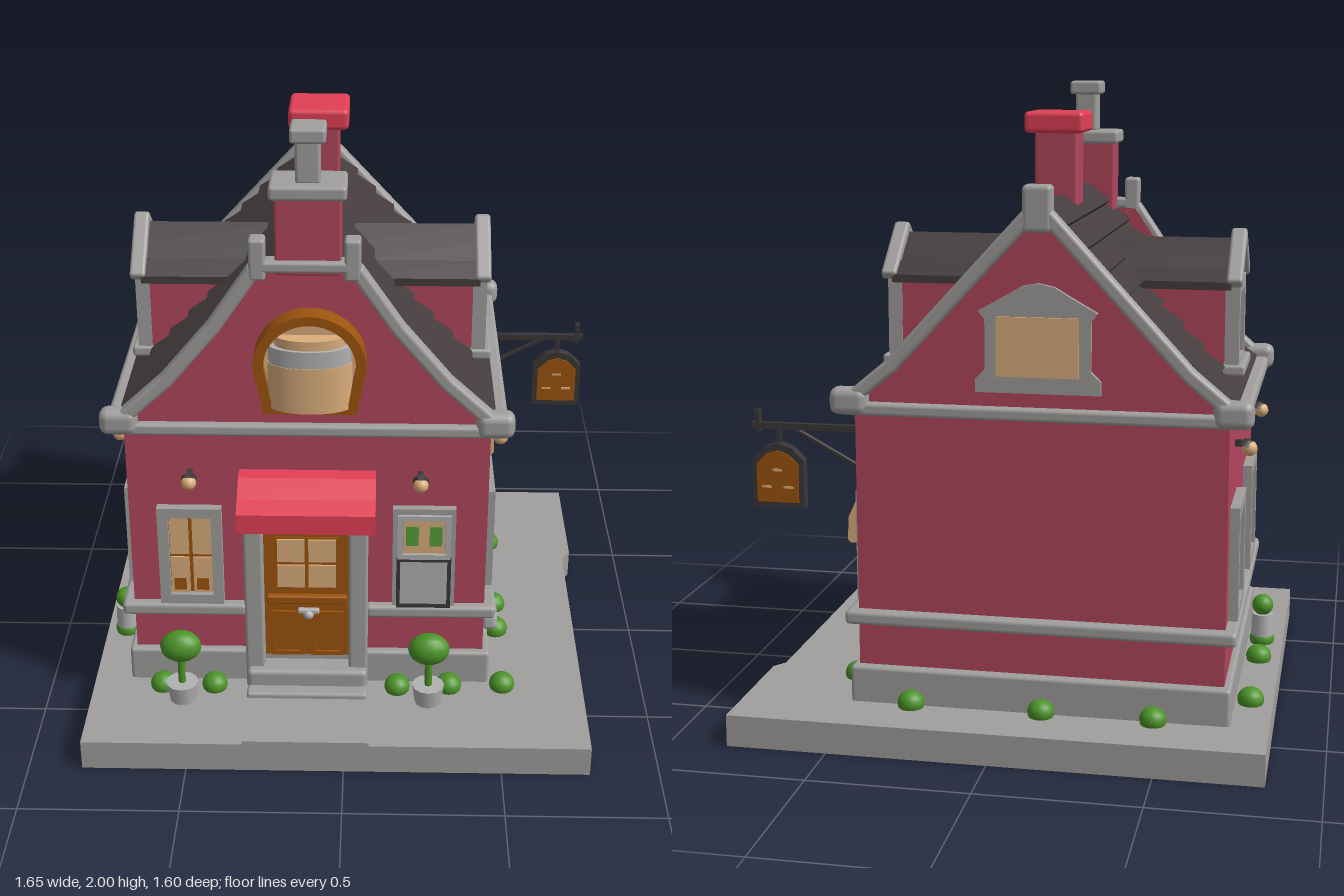
import * as THREE from 'three';
import { RoundedBoxGeometry } from 'three/addons/geometries/RoundedBoxGeometry.js';

const material = (name, color) => Object.assign(new THREE.MeshStandardMaterial({ color }), { name });
const wallRed = material('wallRed', 0xb3475e), brightRed = material('brightRed', 0xe23f55);
const stone = material('stone', 0xa09f9d), slate = material('slate', 0x453d3d);
const wood = material('wood', 0x9c540e), tan = material('tan', 0xdcae7c);
const green = material('green', 0x4c9428), iron = material('iron', 0x3a3637);
const paleGrey = material('paleGrey', 0xb2b2b2), menuGreen = material('menuGreen', 0x55a03c);

const CX = -0.12; // house centre line

function add(parent, name, geometry, mat, x = 0, y = 0, z = 0) {
  const mesh = new THREE.Mesh(geometry, mat);
  mesh.name = name;
  mesh.position.set(x, y, z);
  parent.add(mesh);
  return mesh;
}
// Box given by its limits; round = softened edges
function block(parent, name, mat, x0, x1, y0, y1, z0, z1, round = 0) {
  const w = x1 - x0, h = y1 - y0, d = z1 - z0;
  const geo = round ? new RoundedBoxGeometry(w, h, d, 2, Math.min(round, w / 2.1, h / 2.1, d / 2.1)) : new THREE.BoxGeometry(w, h, d);
  return add(parent, name, geo, mat, (x0 + x1) / 2, (y0 + y1) / 2, (z0 + z1) / 2);
}
// Rounded bar between two points of the xy plane
function beam(parent, name, mat, a, b, z, thick, depth) {
  const dx = b[0] - a[0], dy = b[1] - a[1];
  const geo = new RoundedBoxGeometry(Math.hypot(dx, dy) + thick * 0.6, thick, depth, 2, Math.min(thick, depth) * 0.3);
  add(parent, name, geo, mat, (a[0] + b[0]) / 2, (a[1] + b[1]) / 2, z).rotation.z = Math.atan2(dy, dx);
}
const shapeOf = pts => new THREE.Shape(pts.map(p => new THREE.Vector2(...p)));
const extrude = (shape, depth) => new THREE.ExtrudeGeometry(shape, { depth, bevelEnabled: false, curveSegments: 16 });
const mirrored = half => [...half, ...half.slice().reverse().filter(p => p[0] !== 0).map(([x, y]) => [-x, y])];
function ball(parent, name, mat, x, y, z, rx, ry = rx, rz = rx) {
  add(parent, name, new THREE.SphereGeometry(1, 16, 10), mat, x, y, z).scale.set(rx, ry, rz);
}
// Rectangular ring facing +z
function frame(parent, name, mat, x, y, z, w, h, t, depth) {
  const s = shapeOf([[-w / 2, -h / 2], [w / 2, -h / 2], [w / 2, h / 2], [-w / 2, h / 2]]);
  const a = w / 2 - t, b = h / 2 - t;
  s.holes.push(new THREE.Path([[-a, -b], [-a, b], [a, b], [a, -b]].map(p => new THREE.Vector2(...p))));
  add(parent, name, extrude(s, depth), mat, x, y, z);
}
// Two by two panes on a wooden backing
function panes(parent, x, y, z, w, h, blotch = true) {
  block(parent, 'windowBacking', wood, x - w / 2, x + w / 2, y - h / 2, y + h / 2, z, z + 0.008);
  const pw = w / 2 - 0.012, ph = h / 2 - 0.012;
  for (const i of [-1, 1]) for (const j of [-1, 1]) {
    const px = x + i * w / 4, py = y + j * h / 4;
    block(parent, 'pane', tan, px - pw / 2, px + pw / 2, py - ph / 2, py + ph / 2, z + 0.002, z + 0.014);
    if (j < 0 && blotch) block(parent, 'paneShade', wood, px - pw * 0.35, px + pw * 0.3, py - ph * 0.4, py - ph * 0.08, z + 0.011, z + 0.016);
  }
}
function sashWindow(parent, x, y, z, w, h) {
  const g = new THREE.Group();
  g.name = 'window';
  parent.add(g);
  frame(g, 'windowFrame', stone, x, y, z - 0.01, w, h, 0.034, 0.04);
  panes(g, x, y - 0.005, z, w - 0.06, h - 0.06);
}
// Canopy from a (z, y) profile, running along x
function canopy(parent, name, mat, profile, x0, x1) {
  const geo = extrude(shapeOf(profile), x1 - x0);
  geo.rotateY(-Math.PI / 2);
  add(parent, name, geo, mat, x1, 0, 0);
}
function lamp(parent, x, y, z) {
  block(parent, 'lampArm', iron, x - 0.008, x + 0.008, y, y + 0.02, z, z + 0.04);
  ball(parent, 'lampBulb', tan, x, y - 0.005, z + 0.045, 0.024);
  const rim = add(parent, 'lampRim', new THREE.CylinderGeometry(0.012, 0.026, 0.02, 10), iron, x, y + 0.012, z + 0.04);
  rim.rotation.x = 0.4;
}
const archShape = (w, y0, ySpring) => {
  const s = new THREE.Shape();
  s.moveTo(-w * 0.82, y0).lineTo(w * 0.82, y0).lineTo(w, ySpring);
  s.absarc(0, ySpring, w, 0, Math.PI, false);
  return s;
};

function buildSide(house, s) {
  const side = new THREE.Group(); // local +z points out of the wall
  side.name = s > 0 ? 'leftSide' : 'rightSide';
  side.rotation.y = s * Math.PI / 2;
  side.position.x = CX;
  house.add(side);
  const W = 0.57;
  sashWindow(side, -s * 0.19, 0.57, W, 0.265, 0.36);
  sashWindow(side, s * 0.36, 0.57, W, 0.265, 0.36);
  for (const z of [0.235, -0.35]) lamp(side, -s * z, 0.91, W);
  if (s > 0) canopy(side, 'windowCanopy', tan, [[W, 0.72], [W + 0.03, 0.72], [W + 0.058, 0.66], [W + 0.062, 0.585], [W + 0.05, 0.575], [W, 0.58]], 0.245, 0.48);

  // Dormer with its own little roof
  const d = new THREE.Group();
  d.name = 'dormer';
  d.position.x = s * 0.07;
  side.add(d);
  add(d, 'dormerWall', extrude(shapeOf([[-0.125, 1.08], [0.125, 1.08], [0.125, 1.38], [0, 1.51], [-0.125, 1.38]]), 0.42), wallRed, 0, 0, 0.11);
  const roof = [[0.175, 1.375], [0.175, 1.4], [0.12, 1.44], [0.12, 1.425], [0.06, 1.48], [0.06, 1.47], [0, 1.52]];
  add(d, 'dormerRoof', extrude(shapeOf([...mirrored(roof), [0, 1.48]]), 0.45), slate, 0, 0, 0.09);
  for (const i of [-1, 1]) beam(d, 'dormerRake', stone, [i * 0.165, 1.4], [0, 1.535], 0.55, 0.035, 0.05);
  frame(d, 'dormerFrame', stone, 0, 1.25, 0.52, 0.26, 0.29, 0.04, 0.045);
  panes(d, 0, 1.25, 0.53, 0.18, 0.21, false);
  block(d, 'dormerSill', stone, -0.14, 0.14, 1.1, 1.135, 0.5, 0.585, 0.01);
}

function buildFront(house) {
  const F = 0.43;
  // Door, surround and steps
  block(house, 'door', wood, -0.265, 0.015, 0.18, 0.75, F, 0.455);
  for (const x of [-0.325, 0.01]) block(house, 'doorPost', stone, x, x + 0.062, 0.1, 0.76, F - 0.02, 0.5, 0.01);
  block(house, 'doorStep', stone, -0.32, 0.07, 0.1, 0.185, F, 0.53, 0.015);
  block(house, 'lowerStep', stone, -0.32, 0.07, 0.09, 0.13, F, 0.575, 0.01);
  panes(house, -0.125, 0.56, 0.452, 0.2, 0.19, false);
  block(house, 'doorRail', wood, -0.255, 0.005, 0.41, 0.44, 0.45, 0.475, 0.006);
  for (const x of [-0.19, -0.06]) frame(house, 'doorPanel', wood, x, 0.29, 0.45, 0.11, 0.17, 0.015, 0.012);
  block(house, 'doorHandle', paleGrey, -0.155, -0.085, 0.372, 0.39, 0.455, 0.475, 0.006);
  ball(house, 'doorKnob', paleGrey, -0.12, 0.37, 0.47, 0.017);
  canopy(house, 'doorCanopy', brightRed, [[F, 0.885], [0.475, 0.88], [0.54, 0.84], [0.595, 0.815], [0.597, 0.75], [0.58, 0.745], [F, 0.75]], -0.335, 0.095);

  // Window and menu board
  sashWindow(house, -0.497, 0.577, F, 0.205, 0.355);
  block(house, 'menuBoard', stone, 0.15, 0.35, 0.4, 0.76, F - 0.02, F + 0.025);
  frame(house, 'menuTopFrame', paleGrey, 0.25, 0.66, F + 0.02, 0.17, 0.16, 0.018, 0.015);
  block(house, 'menuCard', tan, 0.185, 0.315, 0.6, 0.72, F + 0.02, F + 0.029);
  for (const x of [0.21, 0.285]) block(house, 'menuPicture', menuGreen, x - 0.018, x + 0.022, 0.63, 0.7, F + 0.026, F + 0.033);
  frame(house, 'menuFrame', iron, 0.25, 0.49, F + 0.02, 0.175, 0.185, 0.012, 0.014);
  block(house, 'menuPanel', paleGrey, 0.175, 0.325, 0.41, 0.57, F + 0.02, F + 0.03);
  for (const x of [-0.49, 0.235]) lamp(house, x, 0.865, F);

  // Arched gable window with bulging blind
  const ring = archShape(0.172, 1.12, 1.272);
  ring.holes.push(new THREE.Path(archShape(0.14, 1.145, 1.275).getPoints(16)));
  add(house, 'archFrame', extrude(ring, 0.075), wood, CX + 0.013, 0, F);
  add(house, 'archGlass', extrude(archShape(0.142, 1.14, 1.275), 0.05), tan, CX + 0.013, 0, F);
  const blind = (name, mat, y0, y1, r) => add(house, name, new THREE.CylinderGeometry(r, r, y1 - y0, 20, 1, false, -Math.PI / 2, Math.PI), mat, CX + 0.013, (y0 + y1) / 2, 0.48).scale.z = 0.5;
  blind('blindLower', tan, 1.14, 1.29, 0.128);
  blind('blindBand', paleGrey, 1.29, 1.345, 0.125);
  blind('blindTop', tan, 1.345, 1.375, 0.105);
}

function buildRoof(house) {
  // Stepped slate rows running along the ridge
  const rows = 9, half = [];
  for (let i = 0; i < rows; i++) {
    const a = i / rows, b = (i + 1) / rows;
    half.push([0.575 * (1 - a) + 0.012, 1.05 + 0.6 * a + 0.014], [0.575 * (1 - b), 1.05 + 0.6 * b]);
  }
  half[half.length - 1] = [0, 1.66];
  add(house, 'mainRoof', extrude(shapeOf(mirrored([[0.575, 1.03], ...half])), 0.99), slate, CX, 0, -0.57);

  // Gable walls with stone rakes
  const front = [[0.57, 1.07], [0.43, 1.2], [0.28, 1.38], [0.155, 1.565]];
  const back = [[0.57, 1.07], [0.45, 1.17], [0, 1.66]];
  add(house, 'frontGable', extrude(shapeOf(mirrored([[0.57, 1.0], ...front])), 0.03), wallRed, CX, 0, 0.405);
  add(house, 'backGable', extrude(shapeOf(mirrored([[0.57, 1.0], ...back])), 0.03), wallRed, CX, 0, -0.585);
  for (const [path, z] of [[front, 0.435], [back, -0.59]]) for (const s of [-1, 1]) {
    for (let i = 0; i < path.length - 1; i++) beam(house, 'rake', stone, [CX + s * path[i][0], path[i][1]], [CX + s * path[i + 1][0], path[i + 1][1]], z, 0.045, 0.055);
    const x = CX + s * 0.583;
    block(house, 'corbel', stone, x - 0.06, x + 0.06, 1.015, 1.1, z - 0.035, z + 0.035, 0.028);
  }
  for (const s of [-1, 1]) {
    const x = CX + s * 0.142;
    block(house, 'gablePost', stone, x - 0.025, x + 0.025, 1.54, 1.67, 0.405, 0.465, 0.01);
    const c = CX + s * 0.59;
    block(house, 'sideCornice', stone, c - 0.035, c + 0.035, 1.015, 1.06, -0.6, 0.45, 0.015);
  }
  block(house, 'gableTop', stone, CX - 0.15, CX + 0.15, 1.565, 1.6, 0.405, 0.465, 0.01);
  block(house, 'backPost', stone, CX - 0.045, CX + 0.045, 1.58, 1.72, -0.62, -0.56, 0.015);
  block(house, 'frontCornice', stone, CX - 0.61, CX + 0.61, 1.015, 1.055, 0.4, 0.46, 0.012);
  block(house, 'backCornice', stone, CX - 0.61, CX + 0.61, 1.015, 1.055, -0.615, -0.56, 0.012);

  // Back gable window
  const surround = [[0.19, 1.1], [0.19, 1.14], [0.16, 1.17], [0.16, 1.32], [0.18, 1.345], [0.1, 1.39], [0.05, 1.42], [0, 1.43]];
  add(house, 'backWindowSurround', extrude(shapeOf(mirrored(surround)), 0.02), stone, CX, 0, -0.602);
  block(house, 'backWindowPane', tan, CX - 0.125, CX + 0.125, 1.15, 1.33, -0.609, -0.6);

  // Chimneys
  block(house, 'frontChimney', wallRed, -0.21, -0.012, 1.55, 1.8, 0.335, 0.445, 0.008);
  block(house, 'frontChimneyCap', stone, -0.225, 0.005, 1.79, 1.835, 0.31, 0.465, 0.012);
  block(house, 'chimneyPot', stone, -0.147, -0.073, 1.83, 1.97, 0.345, 0.43, 0.01);
  block(house, 'chimneyPotRim', stone, -0.162, -0.056, 1.955, 2.0, 0.335, 0.44, 0.01);
  block(house, 'rearChimney', wallRed, -0.165, -0.03, 1.5, 1.86, -0.17, -0.04, 0.008);
  block(house, 'rearChimneyCap', brightRed, -0.19, 0.0, 1.848, 1.915, -0.2, -0.01, 0.015);
}

function buildSign(root) {
  const z = -0.46;
  const g = new THREE.Group();
  g.name = 'hangingSign';
  root.add(g);
  block(g, 'signArm', iron, 0.44, 0.825, 0.93, 0.95, z - 0.01, z + 0.01);
  beam(g, 'signBrace', iron, [0.46, 0.81], [0.69, 0.935], z, 0.015, 0.015);
  block(g, 'armFinial', iron, 0.797, 0.813, 0.92, 0.99, z - 0.012, z + 0.012);
  block(g, 'wallPlate', iron, 0.445, 0.465, 0.8, 0.97, z - 0.015, z + 0.015);
  block(g, 'signHook', iron, 0.73, 0.745, 0.87, 0.94, z - 0.006, z + 0.006);
  const outline = k => shapeOf(mirrored([[0.085, -0.105], [0.085, 0.05], [0.045, 0.09], [0, 0.105]].map(p => p.map(v => v * k))));
  add(g, 'signBoard', extrude(outline(1), 0.036), iron, 0.738, 0.782, z - 0.018);
  add(g, 'signFace', extrude(outline(0.8), 0.046), wood, 0.738, 0.78, z - 0.023);
  for (const [x, y] of [[-0.035, -0.03], [0.035, -0.03], [0, 0.025]]) block(g, 'signSpot', tan, 0.722 + x, 0.754 + x, 0.772 + y, 0.78 + y, z - 0.025, z + 0.025);
}

function buildGarden(root) {
  for (const x of [-0.53, 0.27]) {
    add(root, 'treePot', new THREE.CylinderGeometry(0.052, 0.042, 0.07, 12), paleGrey, x, 0.13, 0.56);
    add(root, 'treeTrunk', new THREE.CylinderGeometry(0.012, 0.012, 0.14, 8), green, x, 0.21, 0.56);
    ball(root, 'treeCrown', green, x, 0.3, 0.555, 0.067, 0.053, 0.048);
  }
  const bushes = [[-0.6, 0.5], [-0.43, 0.5], [0.17, 0.5], [0.34, 0.49], [-0.48, -0.625], [-0.135, -0.625], [0.275, -0.625],
    [-0.76, -0.4], [-0.76, 0], [-0.76, 0.18], [0.51, -0.4], [0.51, 0.01], [0.51, 0.16], [0.515, 0.48]];
  for (const [x, z] of bushes) ball(root, 'bush', green, x, 0.115, z, 0.042, 0.038, 0.042);
  // Wall planters
  block(root, 'wallPlanter', paleGrey, 0.45, 0.505, 0.21, 0.275, 0.19, 0.32, 0.02);
  ball(root, 'planterMound', paleGrey, 0.475, 0.27, 0.255, 0.028, 0.04, 0.045);
  add(root, 'sidePot', new THREE.CylinderGeometry(0.035, 0.04, 0.11, 12), paleGrey, -0.76, 0.15, 0.18);
  ball(root, 'sideBush', green, -0.76, 0.235, 0.18, 0.036);
}

export function createModel() {
  const root = new THREE.Group();
  root.name = 'cottageShop';
  const ground = extrude(shapeOf([[-0.83, -0.8], [0.78, -0.8], [0.785, 0.32], [0.815, 0.36], [0.815, 0.8], [-0.83, 0.8]]), 0.1);
  ground.rotateX(-Math.PI / 2);
  add(root, 'groundSlab', ground, stone);
  block(root, 'path', stone, -0.32, 0.08, 0.02, 0.112, 0.5, 0.8);

  const house = new THREE.Group();
  house.name = 'house';
  root.add(house);
  block(house, 'walls', wallRed, CX - 0.57, CX + 0.57, 0.1, 1.04, -0.58, 0.43);
  block(house, 'plinth', stone, CX - 0.592, CX + 0.592, 0.09, 0.215, -0.61, 0.455, 0.012);
  block(house, 'ledgeLeft', stone, CX + 0.55, CX + 0.607, 0.35, 0.395, -0.615, 0.46, 0.014);
  block(house, 'ledgeRight', stone, CX - 0.607, CX - 0.55, 0.35, 0.395, -0.615, 0.46, 0.014);
  block(house, 'ledgeBack', stone, CX - 0.607, CX + 0.607, 0.35, 0.395, -0.615, -0.56, 0.014);
  block(house, 'ledgeFrontRight', stone, CX - 0.607, -0.32, 0.35, 0.395, 0.41, 0.46, 0.014);
  block(house, 'ledgeFrontLeft', stone, 0.065, CX + 0.607, 0.35, 0.395, 0.41, 0.46, 0.014);
  buildFront(house);
  buildRoof(house);
  for (const s of [-1, 1]) buildSide(house, s);
  buildSign(root);
  buildGarden(root);
  return root;
}
